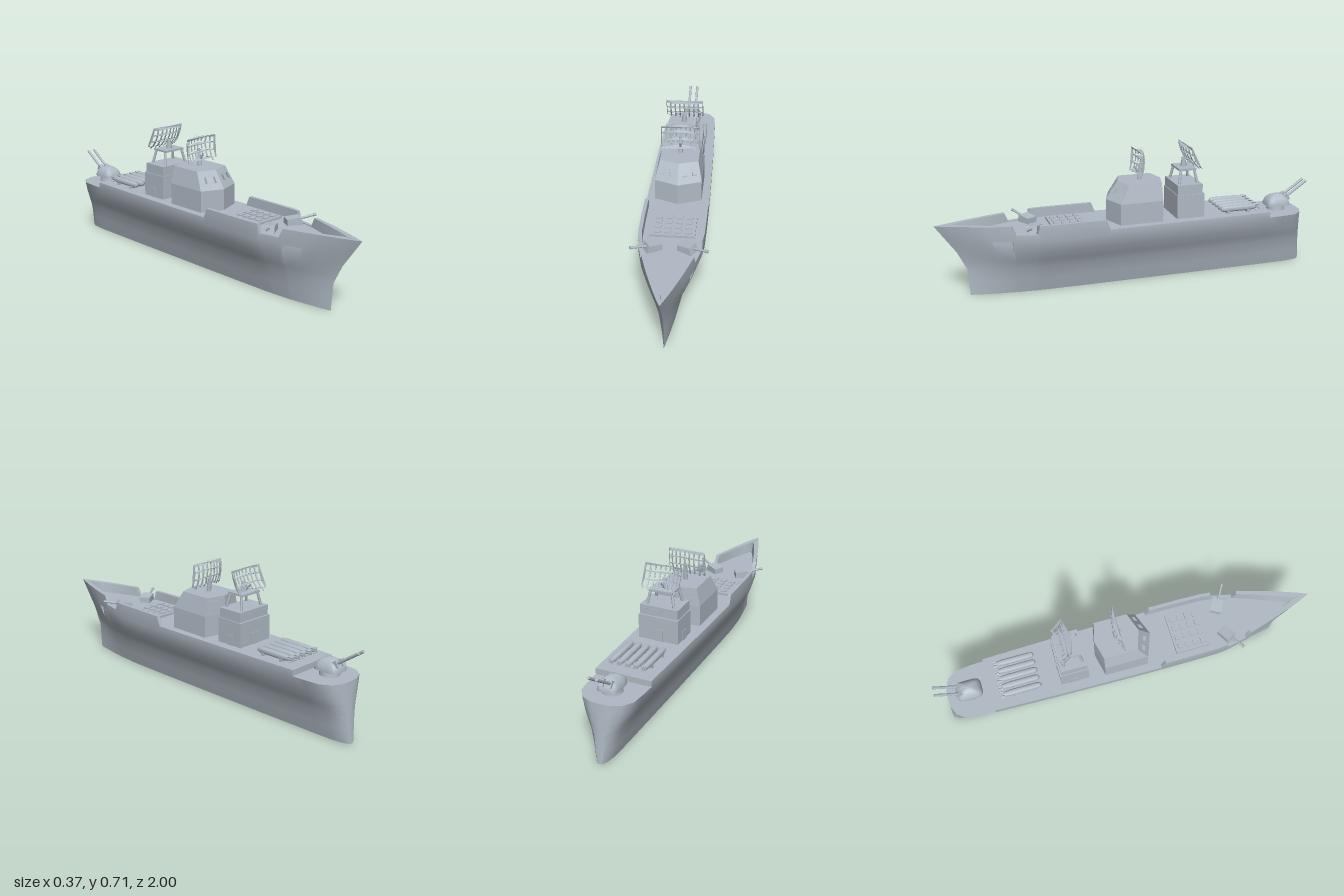
import * as THREE from 'three';
import { toCreasedNormals } from 'three/addons/utils/BufferGeometryUtils.js';

const V = (x, y, z) => new THREE.Vector3(x, y, z);
const paint = new THREE.MeshStandardMaterial({ color: 0xb0bac4 });
paint.name = 'naval grey';

function add(parent, name, geo, pos = [0, 0, 0], rot = [0, 0, 0]) {
  const m = new THREE.Mesh(geo, paint);
  m.name = name;
  m.position.set(...pos);
  m.rotation.set(...rot);
  parent.add(m);
  return m;
}
const box = (w, h, d) => new THREE.BoxGeometry(w, h, d);

// Round bar between two points
function bar(parent, name, a, b, r, r2 = r, sides = 12) {
  const m = add(parent, name, new THREE.CylinderGeometry(r2, r, a.distanceTo(b), sides));
  m.position.copy(a).lerp(b, 0.5);
  m.quaternion.setFromUnitVectors(V(0, 1, 0), b.clone().sub(a).normalize());
  return m;
}

// Mirrored skin over a grid of points P[station][row]; pocket() may sink a cell
function skin(P, pocket, crease) {
  const out = [];
  const tri = (a, b, c) => {
    if (b.clone().sub(a).cross(c.clone().sub(a)).lengthSq() < 1e-16) return;
    for (const p of [a, b, c]) out.push(p.x, p.y, p.z);
    for (const p of [a, c, b]) out.push(-p.x, p.y, p.z);
  };
  const quad = (a, b, c, d) => { tri(a, b, c); tri(a, c, d); };
  for (let i = 0; i < P.length - 1; i++) {
    for (let j = 0; j < P[i].length - 1; j++) {
      const q = [P[i][j], P[i][j + 1], P[i + 1][j + 1], P[i + 1][j]];
      const inner = pocket(i, j, q);
      if (inner) q.forEach((p, k) => quad(p, q[(k + 1) % 4], inner[(k + 1) % 4], inner[k]));
      quad(...(inner || q));
    }
  }
  const g = new THREE.BufferGeometry();
  g.setAttribute('position', new THREE.Float32BufferAttribute(out, 3));
  g.computeVertexNormals();
  return crease ? toCreasedNormals(g, crease) : g;
}

function hull() {
  // z, half width, rim height, deck height
  const stations = [
    [-0.975, 0, .3, .3], [-0.972, .05, .3, .3], [-0.945, .1, .3, .3], [-0.89, .132, .3, .3],
    [-0.8, .14, .3, .3], [-0.73, .143, .3, .3], [-0.73, .143, .33, .33], [-0.4, .152, .33, .33],
    [0, .159, .33, .33], [.15, .16, .33, .33], [.17, .16, .38, .33], [.3, .16, .38, .33],
    [.45, .158, .38, .33], [.505, .152, .38, .33], [.515, .15, .335, .33], [.62, .127, .335, .33],
    [.64, .122, .38, .33], [.75, .09, .38, .33], [.81, .071, .38, .33], [.88, .047, .38, .33],
    [.95, .021, .38, .33], [1, 0, .38, .33]];
  const rake = y => y < .14 ? .15 + .01 * (1 - y / .14)
    : y < .235 ? .15 - .047 * (y - .14) / .095
    : Math.max(0, .103 * (.38 - y) / .145);
  const P = stations.map(([z, w, top, deck]) => {
    const f = THREE.MathUtils.clamp((z - .6) / .4, 0, 1);
    const s = THREE.MathUtils.clamp((-z - .8) / .175, 0, 1);
    const pt = (x, y, inset = 0) => V(x, y, z - rake(y) * f + s * .025 * Math.min(1, y / .3) - inset * f);
    const inner = Math.max(0, w - .018);
    return [pt(0, 0), pt(w * .27, 0), pt(w * .4, .07), pt(w * .52, .14), pt(w * .68, .185),
      pt(w * .85, .235), pt(w, .3), pt(w, top), pt(inner, top, .04), pt(inner, deck, .04), pt(0, deck, .04)];
  });
  // Anchor recess under the forward guns
  return skin(P, (i, j, [a, b, c, d]) =>
    i === 16 && j === 5 && [a, V(a.x - .005, b.y, b.z), V(d.x - .005, c.y, c.z), d], .6);
}

function bridge() {
  const base = [[0, -.165], [.119, -.14], [.119, .085], [0, .13]];
  const roof = [[0, -.162], [.098, -.138], [.098, .035], [0, .068]];
  const mix = THREE.MathUtils.lerp;
  const at = (ring, s) => {
    const k = Math.min(2, Math.floor(s));
    return [0, 1].map(n => mix(ring[k][n], ring[k + 1][n], s - k));
  };
  const P = [0, 1, 2, 2.15, 2.37, 2.58, 2.8, 3].map(s => {
    const col = [.325, .44, .47, .5, .53].map(y => {
      const t = Math.max(0, (y - .44) / .09), p = at(base, s), q = at(roof, s);
      return V(mix(p[0], q[0], t), y, mix(p[1], q[1], t));
    });
    return [...col, V(0, .53, col[4].z)];
  });
  // Sunken windows
  return skin(P, (i, j, q) => (i === 3 || i === 5) && j === 2 && q.map(p => V(p.x, p.y, p.z - .015)), 0);
}

// Bent lattice dish with open teeth along its lower edge
function radarDish() {
  const W = .097, H = .06, n = 8, rows = 3, cw = 2 * W / n, ch = 2 * H / rows, t = .0035;
  const s = new THREE.Shape();
  s.moveTo(W, -H);
  s.lineTo(W, H);
  s.lineTo(0, H);
  s.lineTo(-W, H);
  s.lineTo(-W, -H);
  for (let i = 0; i < n; i++) {
    const x = -W + i * cw, drop = -H - (i % 2 ? .014 : .009);
    s.lineTo(x, drop); s.lineTo(x + 2 * t, drop); s.lineTo(x + 2 * t, -H); s.lineTo(x + cw, -H);
  }
  for (let i = 0; i < n; i++) for (let j = 0; j < rows; j++) {
    const x = -W + i * cw, y = -H + j * ch, e = j === rows - 1 ? .012 : t;
    const h = new THREE.Path();
    h.moveTo(x + t, y + t); h.lineTo(x + t, y + ch - e);
    h.lineTo(x + cw - t, y + ch - e); h.lineTo(x + cw - t, y + t);
    h.closePath();
    s.holes.push(h);
  }
  const g = new THREE.ExtrudeGeometry(s, { depth: .003, bevelEnabled: false });
  const p = g.attributes.position;
  for (let i = 0; i < p.count; i++) {
    const x = p.getX(i), y = p.getY(i);
    p.setZ(i, p.getZ(i) + .02 * (x / W) ** 2 + 3 * y * y);
    p.setY(i, y + .015 * (1 - Math.abs(x) / W));
  }
  g.computeVertexNormals();
  return g;
}

export function createModel() {
  const ship = new THREE.Group();
  ship.name = 'warship';
  add(ship, 'hull', hull());
  add(ship, 'bridge', bridge());

  // Forward radar
  bar(ship, 'forwardMast', V(0, .53, -.05), V(0, .62, -.06), .012, .007);
  bar(ship, 'forwardFeedArm', V(0, .545, -.055), V(0, .6, -.025), .005);
  add(ship, 'forwardRadar', radarDish(), [0, .619, -.066], [-.08, 0, 0]);

  // Aft tower with doors, slots and radar stand
  add(ship, 'towerBase', box(.21, .13, .148), [0, .39, -.296]);
  add(ship, 'towerTop', box(.2, .055, .135), [0, .4775, -.293]);
  add(ship, 'towerDoor', box(.05, .06, .006), [0, .36, -.37]);
  for (let i = 0; i < 5; i++) add(ship, 'towerSlot', box(.018, .01, .004), [(i - 2) * .036, .485, -.361]);
  for (const sx of [-1, 1]) {
    add(ship, 'towerSideDoor', box(.006, .05, .04), [sx * .105, .355, -.3]);
    for (const sz of [-1, 1])
      bar(ship, 'standLeg', V(sx * .072, .5, -.292 + sz * .05), V(sx * .056, .575, -.292 + sz * .036), .007);
  }
  add(ship, 'standPlatform', box(.125, .01, .095), [0, .577, -.292]);
  bar(ship, 'aftMast', V(0, .58, -.29), V(0, .63, -.29), .015, .01);
  bar(ship, 'aftFeedArm', V(0, .585, -.3), V(0, .625, -.335), .004);
  add(ship, 'aftRadar', radarDish(), [0, .632, -.295], [.45, Math.PI, 0]);

  // Launch cell panel
  add(ship, 'launchPanel', box(.22, .014, .18), [0, .335, .335]);
  for (let i = 0; i < 4; i++) for (let j = 0; j < 4; j++)
    add(ship, 'launchLid', box(.032, .006, .026), [(i - 1.5) * .05, .345, .335 + (j - 1.5) * .041]);

  // Torpedo rack
  const profile = [[0, 0], [.01, 0], [.013, .03], [.016, .05], [.016, .19], [.012, .208], [0, .216]];
  const body = toCreasedNormals(new THREE.LatheGeometry(profile.map(p => new THREE.Vector2(...p)), 16), .7);
  for (let i = 0; i < 5; i++) {
    const x = (i - 2) * .042 + .004;
    add(ship, 'torpedo', body, [x, .353, -.683], [Math.PI / 2, 0, 0]);
    for (const a of [1, -1]) add(ship, 'torpedoFin', box(.036, .003, .022), [x, .353, -.672], [0, 0, a * Math.PI / 4]);
  }
  for (const z of [-.62, -.51]) add(ship, 'torpedoCradle', box(.2, .016, .014), [.004, .336, z]);

  // Twin forward side guns
  const wedge = new THREE.Shape([[-.04, 0], [.04, 0], [.028, .038], [-.04, .03]].map(p => new THREE.Vector2(...p)));
  for (const s of [-1, 1]) {
    const gun = new THREE.Group();
    gun.name = s > 0 ? 'leftGun' : 'rightGun';
    const w = new THREE.ExtrudeGeometry(wedge, { depth: .058, bevelEnabled: false });
    add(gun, 'gunHousing', w, [0, 0, -.029]);
    bar(gun, 'gunBarrel', V(.02, .022, 0), V(.112, .04, 0), .006);
    bar(gun, 'gunMuzzle', V(.1, .0376, 0), V(.114, .0404, 0), .0075);
    gun.position.set(s * .083, .332, .525);
    gun.rotation.y = s > 0 ? -.53 : Math.PI + .53;
    ship.add(gun);
  }

  // Stern turret: squared dome on a round pedestal
  add(ship, 'turretPedestal', new THREE.CylinderGeometry(.045, .05, .035, 24), [0, .312, -.83]);
  const dome = new THREE.SphereGeometry(1, 32, 12, 0, Math.PI * 2, 0, Math.PI / 2);
  const p = dome.attributes.position;
  for (let i = 0; i < p.count; i++) {
    const x = p.getX(i), z = p.getZ(i), r = Math.hypot(x, z) || 1;
    const k = 1 / Math.max(.75, (Math.abs(x / r) ** 5 + Math.abs(z / r) ** 5) ** .2);
    p.setXYZ(i, x * k * .052, p.getY(i) * .06, z * k * .066);
  }
  dome.computeVertexNormals();
  add(ship, 'turretDome', dome, [0, .325, -.832]);
  add(ship, 'turretFloor', new THREE.CylinderGeometry(.05, .05, .006, 24), [0, .326, -.832]);
  for (const x of [-.02, .02]) {
    add(ship, 'barrelMount', box(.022, .035, .05), [x, .358, -.87], [.55, 0, 0]);
    bar(ship, 'turretBarrel', V(x, .355, -.86), V(x, .448, -.995), .007);
  }
  return ship;
}
